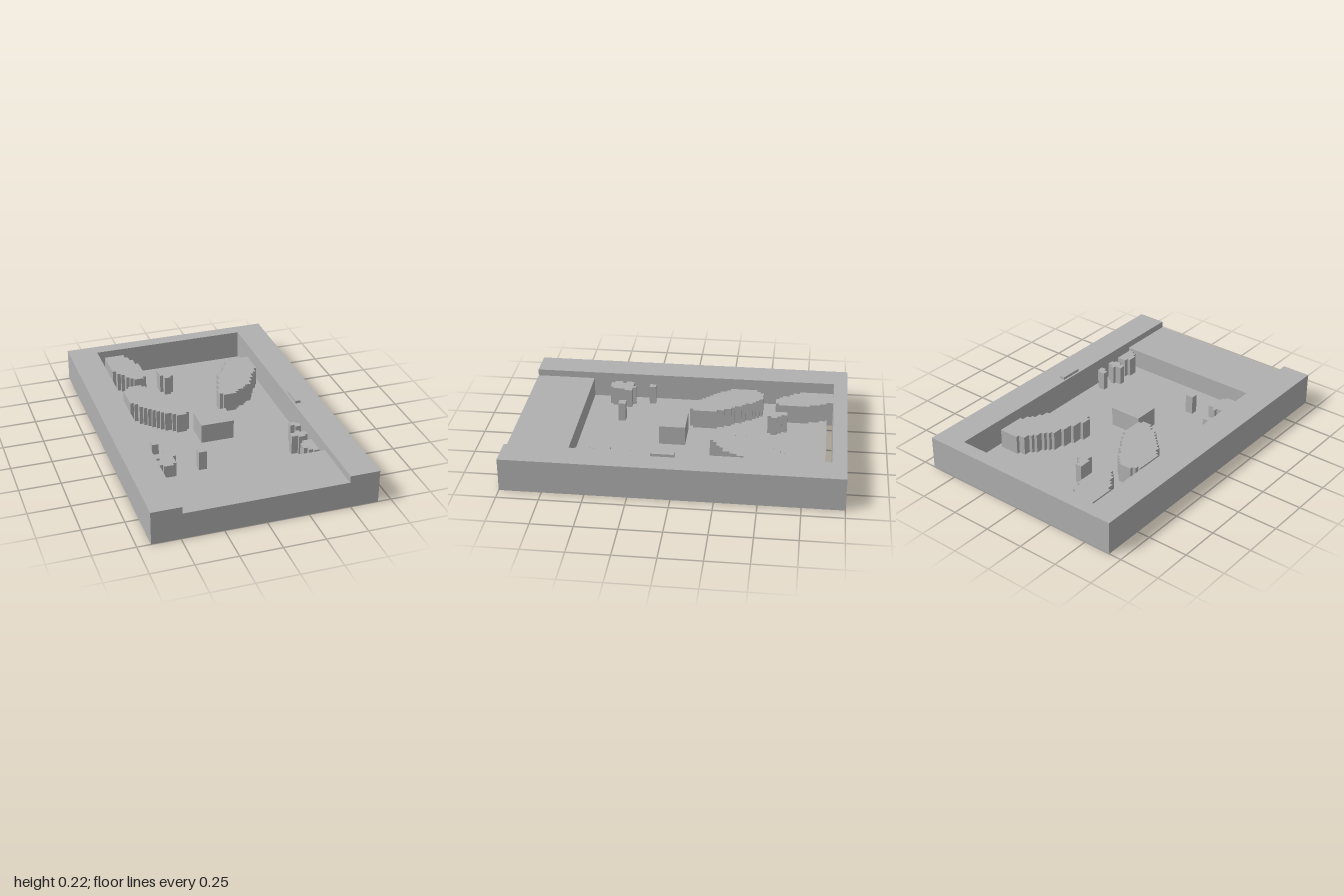
import * as THREE from 'three';

const FLOOR = 0.04, RIM = 0.205, SILL = 0.163, TOP = 0.16, CELL = 0.021;

export function createModel() {
  const group = new THREE.Group();
  const grey = new THREE.MeshStandardMaterial({ color: 0xb0b0b0 });
  grey.name = 'plainGrey';

  function add(name, geometry) {
    const mesh = new THREE.Mesh(geometry, grey);
    mesh.name = name;
    group.add(mesh);
  }
  // box given by its limits
  function block(name, x0, x1, y0, y1, z0, z1) {
    const g = new THREE.BoxGeometry(x1 - x0, y1 - y0, z1 - z0);
    g.translate((x0 + x1) / 2, (y0 + y1) / 2, (z0 + z1) / 2);
    add(name, g);
  }
  // stepped column from rows [zStart, xMin, xMax], ending at zEnd
  function steppedColumn(name, rows, zEnd) {
    const left = [], right = [];
    rows.forEach(([z, x0, x1], i) => {
      const next = i + 1 < rows.length ? rows[i + 1][0] : zEnd;
      left.push([x0, z], [x0, next]);
      right.push([x1, z], [x1, next]);
    });
    const loop = left.concat(right.reverse()).filter((p, i, a) => {
      const q = a[(i + 1) % a.length];
      return Math.hypot(p[0] - q[0], p[1] - q[1]) > 1e-5;
    });
    const shape = new THREE.Shape(loop.map(([x, z]) => new THREE.Vector2(x, -z)));
    const g = new THREE.ExtrudeGeometry(shape, { depth: TOP, bevelEnabled: false });
    g.rotateX(-Math.PI / 2);
    add(name, g);
  }
  // x of an edge [[z, x], ...] at depth z
  function edgeAt(edge, z) {
    let i = 0;
    while (i < edge.length - 2 && z > edge[i + 1][0]) i++;
    const [z0, x0] = edge[i], [z1, x1] = edge[i + 1];
    const t = Math.min(1, Math.max(0, (z - z0) / (z1 - z0)));
    return Math.round((x0 + (x1 - x0) * t) / CELL) * CELL;
  }
  // large island: smooth side edges snapped to a cell grid
  function island(name, left, right) {
    const z0 = left[0][0], z1 = left[left.length - 1][0];
    const n = Math.round((z1 - z0) / CELL), h = (z1 - z0) / n, rows = [];
    for (let i = 0; i < n; i++) {
      const z = z0 + (i + 0.5) * h, a = edgeAt(left, z);
      rows.push([z0 + i * h, a, Math.max(a + CELL, edgeAt(right, z))]);
    }
    steppedColumn(name, rows, z1);
  }

  // surrounding tray
  block('leftRail', 0.49, 0.67, 0, RIM, -1, 1);
  block('rightRail', -0.67, -0.49, 0, RIM, -1, 1);
  block('backWall', -0.49, 0.49, 0, RIM, -1, -0.915);
  block('frontSill', -0.49, 0.49, 0, SILL, 0.63, 1);
  // raised floor, leaving a slot at the back
  block('floor', -0.49, 0.49, FLOOR - 0.004, FLOOR, -0.88, 0.63);
  block('centreBlock', -0.105, 0.1, FLOOR, TOP, -0.025, 0.135);
  block('railButton', 0.502, 0.535, RIM, 0.222, -0.01, 0.13);

  // large islands
  island('backIsland',
    [[-0.915, -0.43], [-0.85, -0.45], [-0.8, -0.44], [-0.71, -0.43], [-0.66, -0.41], [-0.61, -0.37], [-0.557, -0.32]],
    [[-0.915, -0.33], [-0.88, -0.31], [-0.79, -0.27], [-0.74, -0.25], [-0.6, -0.25], [-0.557, -0.27]]);
  island('middleIsland',
    [[-0.475, -0.39], [-0.42, -0.45], [-0.3, -0.45], [-0.235, -0.41], [-0.18, -0.365], [-0.08, -0.26], [-0.03, -0.2]],
    [[-0.475, -0.34], [-0.435, -0.285], [-0.39, -0.25], [-0.28, -0.18], [-0.21, -0.14], [-0.15, -0.125], [-0.065, -0.125], [-0.03, -0.16]]);
  island('sideIsland',
    [[-0.635, 0.35], [-0.605, 0.305], [-0.535, 0.255], [-0.46, 0.2], [-0.385, 0.175], [-0.29, 0.145], [-0.235, 0.125], [-0.188, 0.14]],
    [[-0.635, 0.45], [-0.6, 0.465], [-0.48, 0.465], [-0.42, 0.43], [-0.38, 0.4], [-0.315, 0.375], [-0.27, 0.335], [-0.235, 0.28], [-0.188, 0.22]]);

  // small stepped posts
  steppedColumn('backPost', [[-0.635, -0.165, -0.125], [-0.6, -0.165, -0.105], [-0.575, -0.165, -0.085],
    [-0.555, -0.145, -0.085], [-0.535, -0.145, -0.105]], -0.515);
  steppedColumn('squarePost', [[0.22, -0.45, -0.41]], 0.26);
  steppedColumn('crossPost', [[0.345, -0.41, -0.39], [0.365, -0.47, -0.35], [0.415, -0.45, -0.37],
    [0.435, -0.47, -0.37], [0.49, -0.45, -0.39]], 0.51);
  steppedColumn('innerPost', [[0.38, -0.215, -0.165]], 0.425);
  steppedColumn('leftPostA', [[0.265, 0.405, 0.445], [0.28, 0.405, 0.465], [0.3, 0.43, 0.465]], 0.32);
  steppedColumn('leftPostB', [[0.365, 0.405, 0.43], [0.385, 0.365, 0.465], [0.425, 0.405, 0.445]], 0.44);
  steppedColumn('leftPostC', [[0.485, 0.405, 0.465], [0.51, 0.385, 0.465], [0.57, 0.405, 0.465], [0.595, 0.43, 0.465]], 0.61);

  return group;
}
